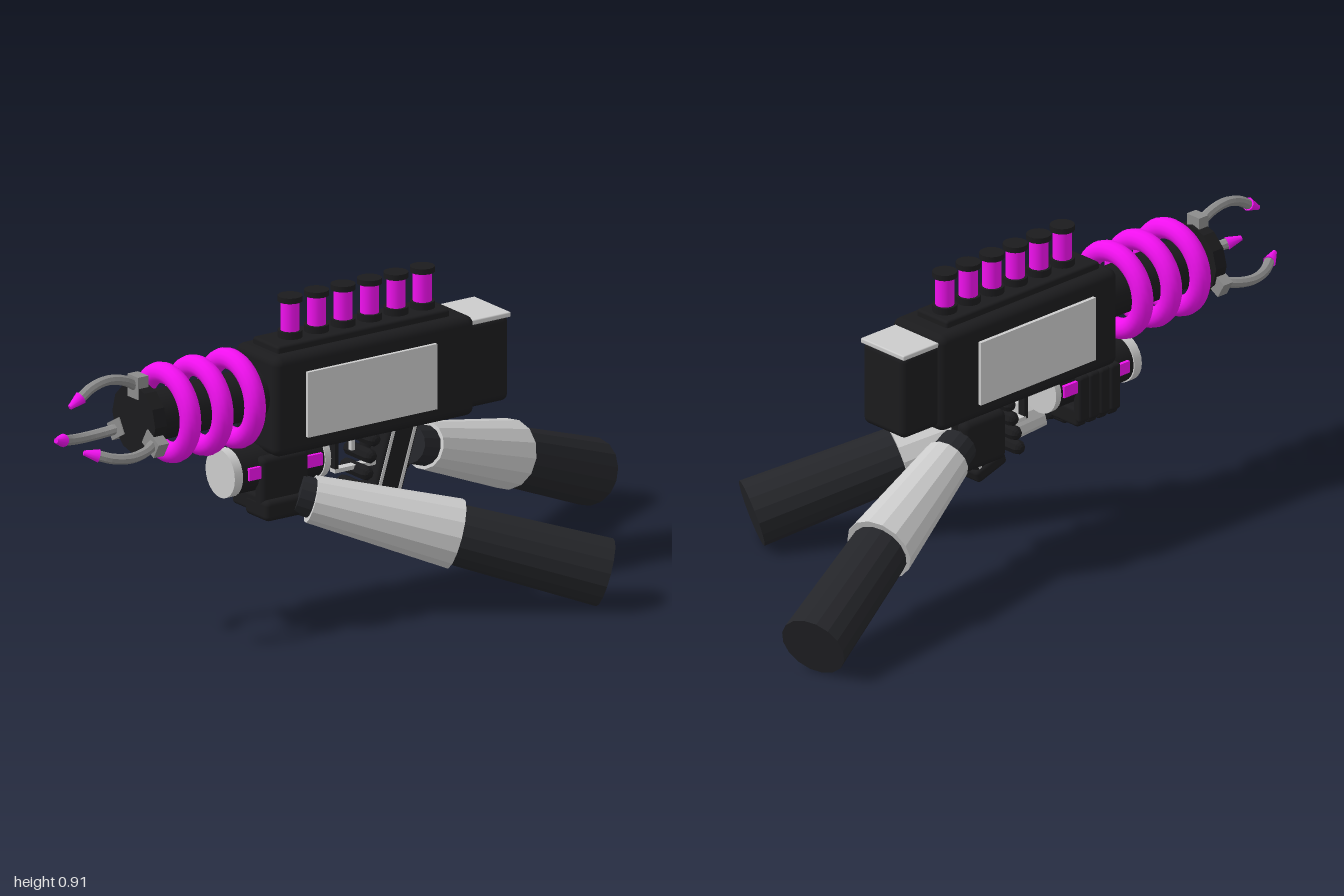
import * as THREE from 'three';
import { RoundedBoxGeometry } from 'three/addons/geometries/RoundedBoxGeometry.js';

const AX = -0.105, AY = 0.648; // barrel axis
const mat = (color, flatShading = false) => new THREE.MeshStandardMaterial({ color, flatShading });
const black = mat(0x1b1b1d), blackFlat = mat(0x1b1b1d, true), cloth = mat(0x242529, true);
const grey = mat(0xcccccc), greyFlat = mat(0xcccccc, true), steel = mat(0x8c8c8c, true);
const glow = mat(0xf010ee);
const V = (x, y, z) => new THREE.Vector3(x, y, z);

export function createModel() {
  const root = new THREE.Group();
  root.name = 'armsHoldingCoilBlaster';

  const add = (name, geo, material, x = 0, y = 0, z = 0, parent = root) => {
    const m = new THREE.Mesh(geo, material);
    m.name = name;
    m.position.set(x, y, z);
    parent.add(m);
    return m;
  };
  // Rounded box given by its limits on each axis
  const block = (name, material, [x0, x1], [y0, y1], [z0, z1], r = 0.01) =>
    add(name, new RoundedBoxGeometry(x1 - x0, y1 - y0, z1 - z0, 3, r), material,
      (x0 + x1) / 2, (y0 + y1) / 2, (z0 + z1) / 2);
  // Cylinder or cone frustum between two points
  const rod = (name, material, a, b, ra, rb = ra, sides = 16, parent = root) => {
    const d = b.clone().sub(a);
    const m = add(name, new THREE.CylinderGeometry(rb, ra, d.length(), sides), material, 0, 0, 0, parent);
    m.position.copy(a).add(b).multiplyScalar(0.5);
    m.quaternion.setFromUnitVectors(V(0, 1, 0), d.normalize());
    return m;
  };

  // Receiver, side panels, top rail and rear block
  block('receiver', black, [AX - 0.103, AX + 0.103], [0.48, 0.77], [-0.31, 0.37], 0.025);
  for (const s of [-1, 1])
    add('sidePanel', new THREE.BoxGeometry(0.02, 0.19, 0.44), grey, AX + s * 0.104, 0.623, 0.05);
  block('topRail', black, [AX - 0.062, AX + 0.062], [0.75, 0.79], [-0.25, 0.335], 0.008);
  block('rearBlock', black, [AX - 0.085, AX + 0.085], [0.495, 0.745], [-0.437, -0.28], 0.02);
  block('rearTopPlate', grey, [AX - 0.087, AX + 0.087], [0.738, 0.753], [-0.44, -0.3], 0.004);

  // Row of six glowing vials
  for (let i = 0; i < 6; i++) {
    const z = 0.25 - i * 0.09;
    rod('vialBase', black, V(AX, 0.785, z), V(AX, 0.81, z), 0.035);
    rod('vial', glow, V(AX, 0.8, z), V(AX, 0.9, z), 0.027);
    rod('vialCap', black, V(AX, 0.894, z), V(AX, 0.91, z), 0.035);
  }

  // Barrel, coils and muzzle
  rod('barrel', black, V(AX, AY, 0.34), V(AX, AY, 0.76), 0.072, 0.072, 20);
  for (const z of [0.45, 0.56, 0.67])
    add('coil', new THREE.TorusGeometry(0.113, 0.03, 14, 40), glow, AX, AY, z);
  rod('muzzle', blackFlat, V(AX, AY, 0.742), V(AX, AY, 0.782), 0.102, 0.102, 12);

  // Three curved prongs around the muzzle
  for (let i = 0; i < 3; i++) {
    const prong = new THREE.Group();
    prong.name = 'prong';
    prong.position.set(AX, AY, 0);
    prong.rotation.z = (i * Math.PI * 2) / 3;
    root.add(prong);
    add('prongMount', new THREE.BoxGeometry(0.05, 0.065, 0.035), steel, 0, 0.096, 0.768, prong);
    const path = new THREE.CatmullRomCurve3([
      V(0, 0.094, 0.77), V(0, 0.118, 0.81), V(0, 0.131, 0.87), V(0, 0.12, 0.925), V(0, 0.092, 0.97)]);
    add('prongArm', new THREE.TubeGeometry(path, 14, 0.015, 8), steel, 0, 0, 0, prong);
    rod('prongTip', glow, V(0, 0.098, 0.962), V(0, 0.076, 1.0), 0.019, 0.007, 10, prong);
  }

  // Front handle drum with glowing side strips
  rod('handleDrum', black, V(AX, 0.435, 0.17), V(AX, 0.435, 0.475), 0.066, 0.066, 24);
  rod('drumFront', grey, V(AX, 0.435, 0.46), V(AX, 0.435, 0.488), 0.07, 0.07, 24);
  rod('drumBack', grey, V(AX, 0.435, 0.16), V(AX, 0.435, 0.18), 0.07, 0.07, 24);
  for (const s of [-1, 1])
    add('drumStrip', new THREE.BoxGeometry(0.02, 0.035, 0.25), glow, AX + s * 0.062, 0.44, 0.315);

  // Front hand wrapped under the drum
  block('frontPalm', black, [AX + 0.035, AX + 0.08], [0.3, 0.48], [0.24, 0.4], 0.015);
  for (let i = 0; i < 4; i++) {
    const z = 0.26 + i * 0.04;
    block('fingerLower', blackFlat, [AX - 0.07, AX + 0.07], [0.315, 0.37], [z - 0.019, z + 0.019], 0.01);
    block('fingerTip', blackFlat, [AX - 0.082, AX - 0.05], [0.33, 0.47], [z - 0.019, z + 0.019], 0.01);
  }
  block('frontHandHeel', black, [AX - 0.01, AX + 0.1], [0.3, 0.36], [0.25, 0.4], 0.015);

  // Pistol grip, with light edges, leaning forward at the bottom
  const grip = new THREE.Group();
  grip.name = 'grip';
  grip.position.set(AX, 0.385, -0.09);
  grip.rotation.x = -0.3;
  root.add(grip);
  add('gripCore', new RoundedBoxGeometry(0.07, 0.24, 0.1, 3, 0.012), black, 0, 0, 0, grip);
  for (const z of [-0.035, 0.035])
    add('gripEdge', new THREE.BoxGeometry(0.074, 0.2, 0.01), grey, 0, 0.01, z, grip);
  add('gripFoot', new RoundedBoxGeometry(0.085, 0.04, 0.115, 3, 0.012), black, 0, -0.11, 0, grip);

  // Trigger guard and trigger
  add('guardFront', new THREE.BoxGeometry(0.025, 0.12, 0.012), black, AX, 0.43, 0.1);
  add('guardBottom', new THREE.BoxGeometry(0.025, 0.012, 0.14), grey, AX, 0.372, 0.036);
  add('trigger', new THREE.BoxGeometry(0.015, 0.06, 0.012), grey, AX, 0.45, 0.04);

  // Rear hand closed on the grip
  block('rearPalm', black, [AX - 0.075, AX - 0.03], [0.31, 0.46], [-0.19, -0.03], 0.02);
  for (let i = 0; i < 4; i++) {
    const y = 0.455 - i * 0.047, z = i * 0.012;
    const f = add('rearFinger', new THREE.CapsuleGeometry(0.021, 0.09, 4, 8), blackFlat, AX, y, z);
    f.rotation.z = Math.PI / 2;
  }

  // Arms: glove wrist, flared light cuff, dark sleeve
  const arm = (name, hand, cuffStart, cuffEnd, elbow) => {
    const g = new THREE.Group();
    g.name = name;
    root.add(g);
    rod('wrist', cloth, hand, cuffStart.clone().lerp(cuffEnd, 0.15), 0.055, 0.06, 14, g);
    rod('cuff', greyFlat, cuffStart, cuffEnd, 0.068, 0.1, 14, g);
    rod('sleeve', cloth, cuffStart.clone().lerp(cuffEnd, 0.8), elbow, 0.083, 0.097, 16, g);
  };
  arm('rightArm', V(-0.14, 0.385, -0.18), V(-0.16, 0.365, -0.245), V(-0.265, 0.243, -0.605), V(-0.375, 0.096, -0.962));
  arm('leftArm', V(-0.035, 0.355, 0.275), V(-0.012, 0.34, 0.245), V(0.178, 0.222, -0.11), V(0.385, 0.096, -0.47));

  return root;
}
